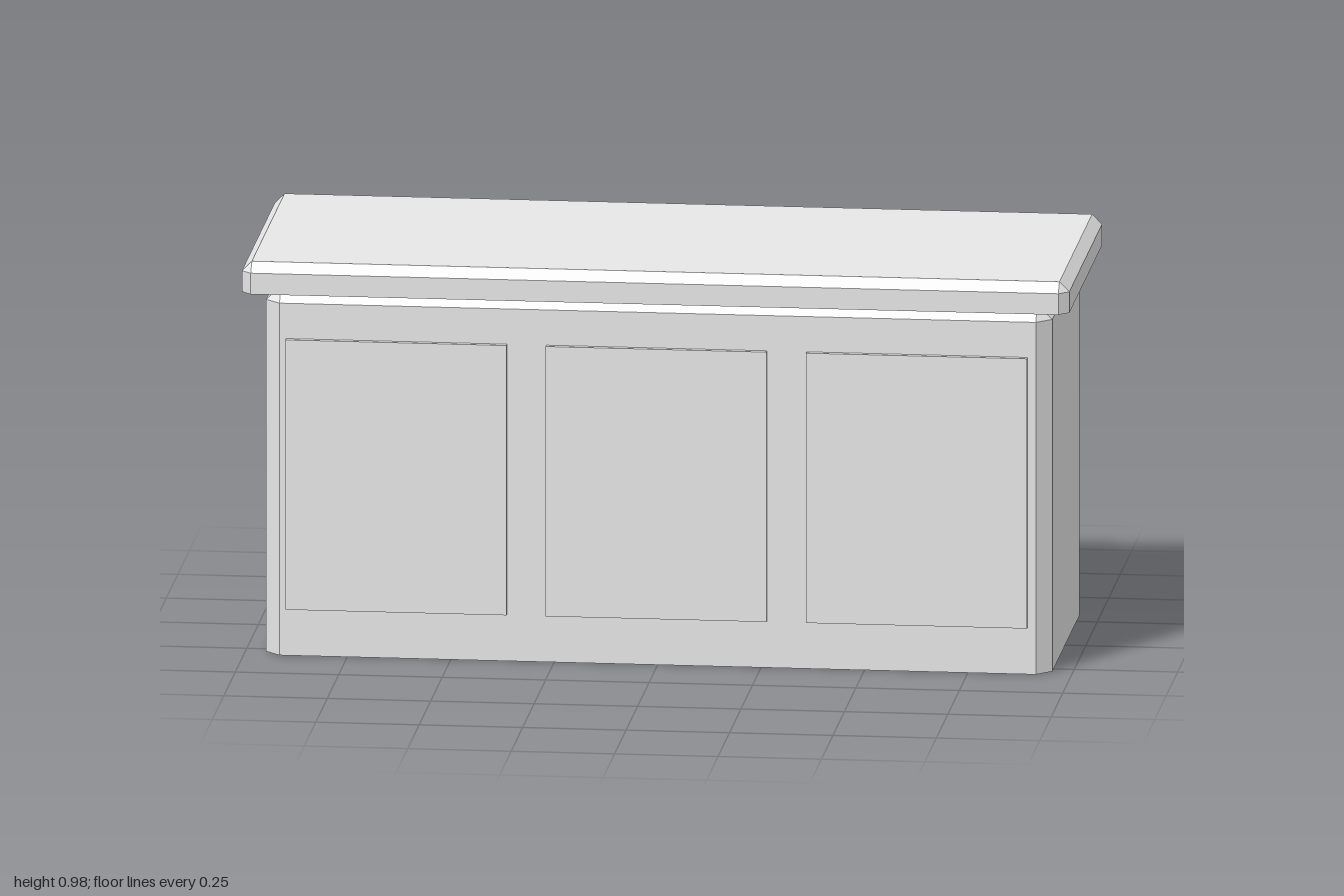
import * as THREE from 'three';
import { ConvexGeometry } from 'three/addons/geometries/ConvexGeometry.js';

// Flat-bottomed block with bevelled vertical corners and a bevelled top rim
function bevelledBlock(halfX, halfZ, bottom, top, bevel) {
  const points = [];
  for (const sx of [-1, 1]) {
    for (const sz of [-1, 1]) {
      for (const y of [bottom, top - bevel]) {
        points.push(new THREE.Vector3(sx * halfX, y, sz * (halfZ - bevel)));
        points.push(new THREE.Vector3(sx * (halfX - bevel), y, sz * halfZ));
      }
      points.push(new THREE.Vector3(sx * (halfX - bevel), top, sz * (halfZ - bevel)));
    }
  }
  return new ConvexGeometry(points);
}

export function createModel() {
  const model = new THREE.Group();
  model.name = 'counter';
  const lightGrey = new THREE.MeshStandardMaterial({ color: 0xe7e7e7 });
  lightGrey.name = 'lightGrey';

  const add = (name, geometry, x = 0, y = 0, z = 0) => {
    const mesh = new THREE.Mesh(geometry, lightGrey);
    mesh.name = name;
    mesh.position.set(x, y, z);
    model.add(mesh);
  };

  // Cabinet sits slightly behind the centre, under the overhanging top
  add('cabinet', bevelledBlock(0.95, 0.3315, 0, 0.905, 0.036), 0, 0, -0.0185);
  add('countertop', bevelledBlock(1, 0.38, 0.905, 0.981, 0.024));

  // Three raised front panels
  const panel = new THREE.BoxGeometry(0.534, 0.666, 0.024);
  ['rightPanel', 'middlePanel', 'leftPanel'].forEach((name, i) => {
    add(name, panel, -0.002 + (i - 1) * 0.629, 0.449, 0.315);
  });

  return model;
}
